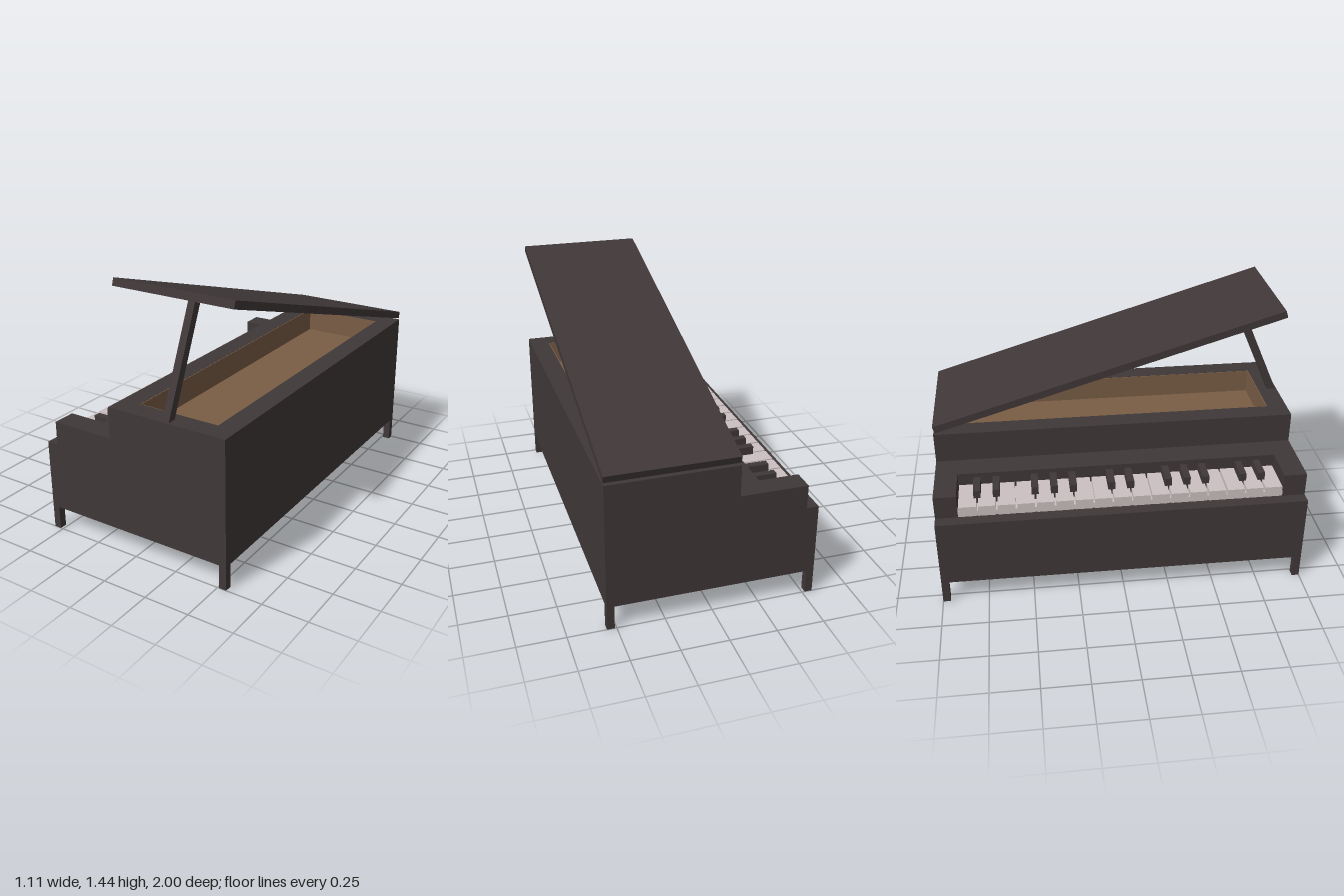
import * as THREE from 'three';

export function createModel() {
  const model = new THREE.Group();
  model.name = 'piano';

  const material = (name, color) => {
    const m = new THREE.MeshStandardMaterial({ color });
    m.name = name;
    return m;
  };
  const dark = material('dark lacquer', 0x403838);
  const ivory = material('ivory', 0xcdc1c2);
  const wood = material('wood', 0x7a5d45);

  // Box given by its limits on each axis
  const box = (name, mat, [x0, x1], [y0, y1], [z0, z1], parent = model) => {
    const mesh = new THREE.Mesh(new THREE.BoxGeometry(x1 - x0, y1 - y0, z1 - z0), mat);
    mesh.position.set((x0 + x1) / 2, (y0 + y1) / 2, (z0 + z1) / 2);
    mesh.name = name;
    parent.add(mesh);
    return mesh;
  };

  // Solid lower case, stepped up behind the keyboard
  const left = -0.555, right = 0.55, caseX = -0.13, top = 0.81, floorY = 0.67;
  const keyFront = -0.49, keyBack = -0.275, keyZ0 = -0.88, keyZ1 = 0.875;
  box('lowerCase', dark, [left, right], [0.13, 0.51], [-1, 1]);
  box('upperCase', dark, [caseX, right], [0.51, floorY], [-1, 1]);
  box('keyCover', dark, [keyBack, caseX], [0.51, 0.64], [-1, 1]);
  box('cheekBlock', dark, [keyFront, keyBack], [0.51, 0.64], [-1, keyZ0]);
  box('cheekBlock', dark, [keyFront, keyBack], [0.51, 0.64], [keyZ1, 1]);

  // Open rim around the sound well
  const rect = (Type, x0, x1, z) => new Type().setFromPoints(
    [[x0, -z], [x1, -z], [x1, z], [x0, z]].map(([x, y]) => new THREE.Vector2(x, y)));
  const wx0 = -0.02, wx1 = 0.44, wz = 0.89, t = 0.005;
  const rimShape = rect(THREE.Shape, caseX, right, 1);
  rimShape.holes.push(rect(THREE.Path, wx0, wx1, wz));
  const rimGeometry = new THREE.ExtrudeGeometry(rimShape, { depth: top - floorY, bevelEnabled: false });
  rimGeometry.rotateX(-Math.PI / 2);
  const rim = new THREE.Mesh(rimGeometry, dark);
  rim.position.y = floorY;
  rim.name = 'rim';
  model.add(rim);

  // Wooden floor and lining of the well
  const well = new THREE.Group();
  well.name = 'soundWell';
  model.add(well);
  const wellY = [floorY, top - 0.001];
  box('wellFloor', wood, [wx0, wx1], [floorY, floorY + t], [-wz, wz], well);
  box('wellLining', wood, [wx0, wx0 + t], wellY, [-wz, wz], well);
  box('wellLining', wood, [wx1 - t, wx1], wellY, [-wz, wz], well);
  box('wellLining', wood, [wx0, wx1], wellY, [-wz, -wz + t], well);
  box('wellLining', wood, [wx0, wx1], wellY, [wz - t, wz], well);

  // Keyboard: white keys on a bed, black keys over most of the joints
  const keyboard = new THREE.Group();
  keyboard.name = 'keyboard';
  model.add(keyboard);
  const count = 17, pitch = (keyZ1 - keyZ0) / count, gap = 0.005;
  const noBlackKey = [3, 7, 10, 14];
  box('keyBed', ivory, [keyFront + 0.005, keyBack], [0.51, 0.54], [keyZ0, keyZ1], keyboard);
  for (let i = 0; i < count; i++) {
    const z = keyZ0 + i * pitch;
    box('whiteKey', ivory, [keyFront, keyBack], [0.511, 0.57], [z + gap, z + pitch - gap], keyboard);
    if (i > 0 && !noBlackKey.includes(i)) {
      box('blackKey', dark, [-0.41, keyBack], [0.54, 0.615], [z - 0.019, z + 0.019], keyboard);
    }
  }

  // Short corner legs
  for (const x of [left, right - 0.04]) {
    for (const z of [-1, 0.96]) box('leg', dark, [x, x + 0.04], [0, 0.13], [z, z + 0.04]);
  }

  // Raised lid, hinged at the back edge
  const hinge = new THREE.Group();
  hinge.name = 'lid';
  hinge.position.set(0, 0.82, -0.99);
  hinge.rotation.x = -Math.atan2(0.585, 1.912);
  model.add(hinge);
  box('lidPanel', dark, [caseX, right], [0, 0.04], [0, 2], hinge);

  // Prop stick leaning back to the lid
  const prop = new THREE.Group();
  prop.name = 'prop';
  prop.position.set(0.21, 0.8, 0.973);
  prop.rotation.x = -Math.atan2(0.235, 0.533);
  model.add(prop);
  box('propStick', dark, [-0.02, 0.02], [0, 0.583], [-0.022, 0.022], prop);

  return model;
}
